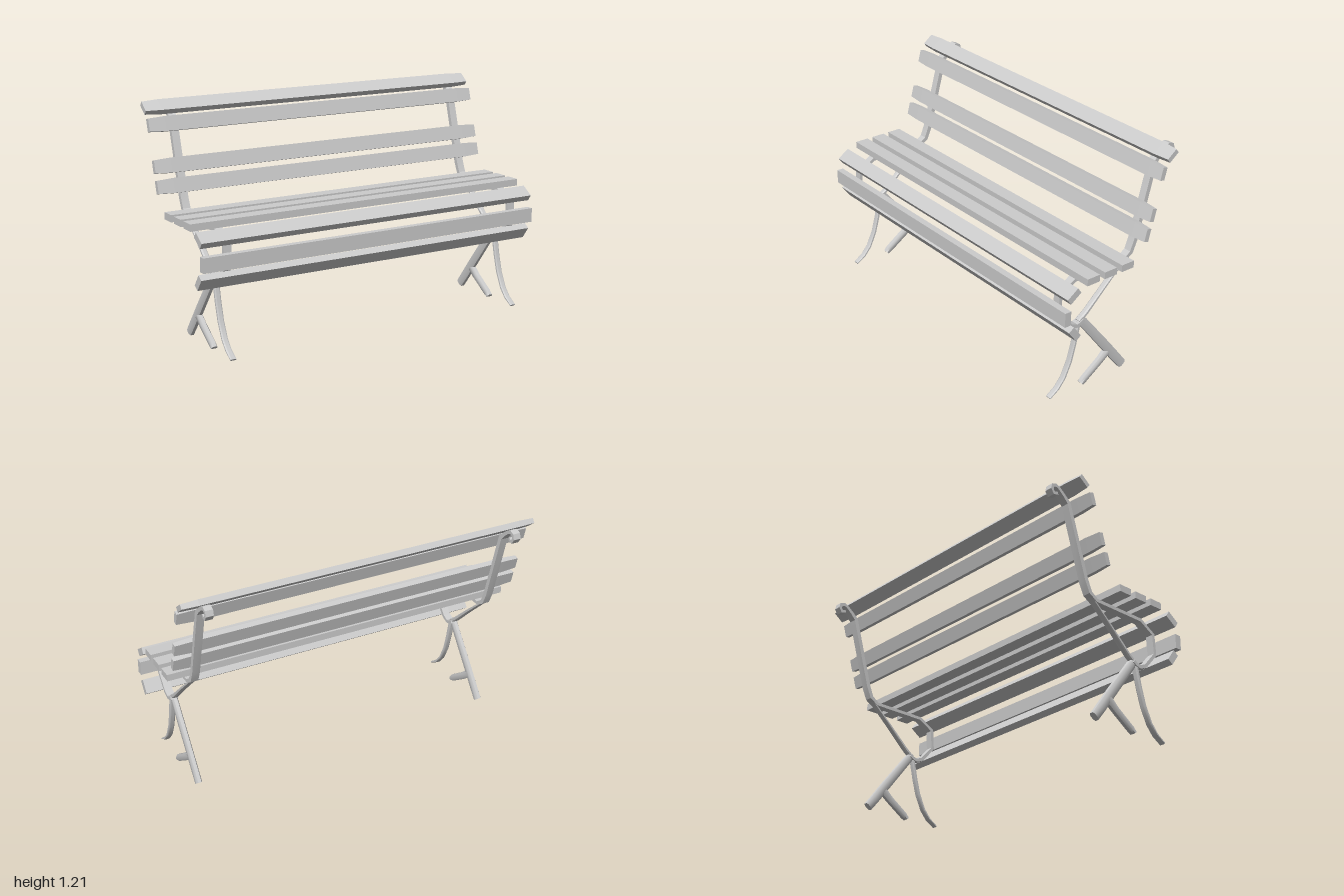
import * as THREE from 'three';
import { toCreasedNormals } from 'three/addons/utils/BufferGeometryUtils.js';

const material = new THREE.MeshStandardMaterial({ color: 0xcccccc });

function mesh(name, geometry, crease) {
  const m = new THREE.Mesh(toCreasedNormals(geometry, crease), material);
  m.name = name;
  return m;
}

// Sweeps a section along a path of [z, y, halfThickness] in the side plane.
// The section is a list of [x, n]: x across the bench, n in half thicknesses.
function sweep(path, section) {
  const n = section.length, pos = [], idx = [];
  const dir = (a, b) => new THREE.Vector2(b[0] - a[0], b[1] - a[1]).normalize();
  path.forEach(([z, y, w], i) => {
    const d0 = dir(path[Math.max(i - 1, 0)], path[Math.max(i, 1)]);
    const last = path.length - 1;
    const d1 = dir(path[Math.min(i, last - 1)], path[Math.min(i + 1, last)]);
    const t = d0.clone().add(d1).normalize();
    const k = w / Math.max(t.dot(d0), 0.6);
    for (const [sx, sn] of section) {
      pos.push(sx, Math.max(0, y + t.x * sn * k), z - t.y * sn * k);
    }
  });
  for (let i = 0; i < path.length - 1; i++) {
    for (let j = 0; j < n; j++) {
      const a = i * n + j, b = i * n + (j + 1) % n;
      idx.push(a, b, b + n, a, b + n, a + n);
    }
  }
  const end = (path.length - 1) * n;
  for (let j = 1; j < n - 1; j++) idx.push(0, j + 1, j, end, end + j, end + j + 1);
  const g = new THREE.BufferGeometry();
  g.setAttribute('position', new THREE.Float32BufferAttribute(pos, 3));
  g.setIndex(idx);
  return g;
}

const flatBar = [[0.021, -1], [0.021, 1], [-0.021, 1], [-0.021, -1]];
const roundBar = [[0.016, -0.5], [0.016, 0.5], [0.009, 1], [-0.009, 1],
  [-0.016, 0.5], [-0.016, -0.5], [-0.009, -1], [0.009, -1]];

// Bent strap: front loop, seat rail, backrest and the curl at the top
const strap = [
  [0.173, 0.388, 0.009], [0.193, 0.376, 0.009], [0.218, 0.369, 0.009],
  [0.257, 0.385, 0.009], [0.334, 0.472, 0.009], [0.327, 0.584, 0.009],
  [0.238, 0.636, 0.009], [-0.08, 0.636, 0.009], [-0.125, 0.665, 0.011],
  [-0.151, 0.726, 0.012], [-0.26, 1.117, 0.012], [-0.292, 1.149, 0.01],
  [-0.324, 1.175, 0.009], [-0.347, 1.186, 0.009], [-0.369, 1.178, 0.009],
  [-0.376, 1.156, 0.008], [-0.363, 1.136, 0.008], [-0.337, 1.143, 0.008],
];
const bars = {
  seatBrace: [[-0.112, 0.652, 0.006], [0.019, 0.536, 0.009],
    [0.148, 0.417, 0.012], [0.196, 0.382, 0.012]],
  rearLeg: [[0.189, 0.398, 0.013], [0.17, 0.372, 0.023], [0.01, 0.167, 0.025],
    [-0.061, 0.074, 0.025], [-0.108, 0.014, 0.024]],
  rearLegFork: [[-0.01, 0.135, 0.024], [0.045, 0.09, 0.02],
    [0.148, 0.02, 0.019], [0.167, 0.004, 0.014]],
  frontLeg: [[0.198, 0.38, 0.01], [0.203, 0.35, 0.011], [0.222, 0.26, 0.01],
    [0.247, 0.17, 0.0095], [0.286, 0.087, 0.009], [0.327, 0.039, 0.008],
    [0.379, 0.006, 0.005]],
};

function createFrame(name, x) {
  const frame = new THREE.Group();
  frame.name = name;
  frame.add(mesh('strap', sweep(strap, flatBar), 0.2));
  for (const [part, path] of Object.entries(bars)) {
    frame.add(mesh(part, sweep(path, roundBar), 0.7));
  }
  frame.position.x = x;
  return frame;
}

// Plank along x; tapered ones narrow slightly towards both ends
function createSlat(name, z, y, angle, thickness, tapered) {
  const g = new THREE.BoxGeometry(2, 0.077, thickness, tapered ? 3 : 1, 1, 1);
  const p = g.attributes.position;
  for (let i = 0; tapered && i < p.count; i++) {
    const x = p.getX(i);
    if (Math.abs(x) < 0.9) p.setX(i, Math.sign(x) * 0.91);
    else p.setXYZ(i, x, p.getY(i) * 0.87, p.getZ(i) * 0.84);
  }
  const slat = mesh(name, g, 0.02);
  slat.position.set(0, y, z);
  slat.rotation.x = angle;
  return slat;
}

export function createModel() {
  const bench = new THREE.Group();
  bench.name = 'bench';
  bench.add(createFrame('leftFrame', 0.886), createFrame('rightFrame', -0.848));

  // Seat and front edge slats: [z, y, angle]
  [[0.205, 0.665, Math.PI / 2], [0.095, 0.665, Math.PI / 2], [-0.016, 0.665, Math.PI / 2],
    [0.324, 0.62, -0.97], [0.361, 0.506, 0], [0.315, 0.406, 0.635],
  ].forEach(([z, y, a], i) => bench.add(
    createSlat(i < 3 ? 'seatSlat' : 'frontSlat', z, y, a, 0.037, false)));

  // Backrest slats
  [[-0.14, 0.793, -0.27], [-0.17, 0.893, -0.27],
    [-0.226, 1.098, -0.27], [-0.282, 1.178, -0.92],
  ].forEach(([z, y, a]) => bench.add(createSlat('backSlat', z, y, a, 0.032, true)));

  return bench;
}
